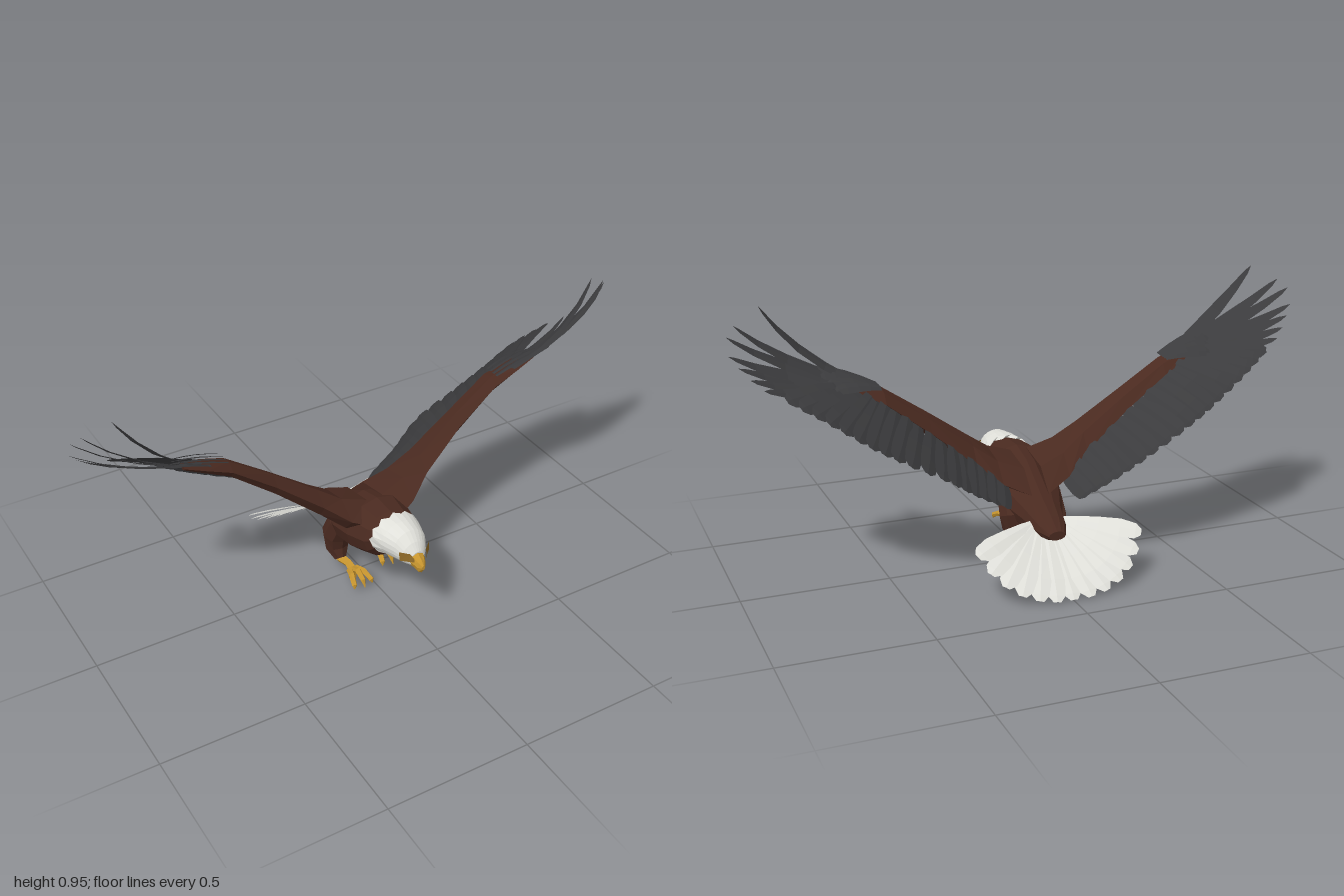
import * as THREE from 'three';

const V = (x, y, z) => new THREE.Vector3(x, y, z);
const paint = (name, color) => {
  const m = new THREE.MeshStandardMaterial({ color, flatShading: true, side: THREE.DoubleSide });
  m.name = name;
  return m;
};

// Skin a surface over rows of points; closed rows form a capped tube
function skin(rows, closed) {
  const n = rows[0].length, pos = [], idx = [];
  rows.forEach(r => r.forEach(p => pos.push(p.x, p.y, p.z)));
  const cols = closed ? n : n - 1;
  for (let i = 0; i < rows.length - 1; i++) {
    for (let j = 0; j < cols; j++) {
      const a = i * n + j, b = i * n + (j + 1) % n;
      idx.push(a, b, a + n, b, b + n, a + n);
    }
  }
  if (closed) {
    const last = (rows.length - 1) * n;
    for (let j = 1; j < n - 1; j++) idx.push(0, j + 1, j, last, last + j, last + j + 1);
  }
  const g = new THREE.BufferGeometry();
  g.setAttribute('position', new THREE.Float32BufferAttribute(pos, 3));
  g.setIndex(idx);
  const flat = g.toNonIndexed();
  flat.computeVertexNormals();
  return flat;
}

// Elliptical ring across z
function ring([z, top, bottom, half], n = 12, zig = 0) {
  return Array.from({ length: n }, (_, i) => {
    const a = i / n * Math.PI * 2;
    return V(half * Math.cos(a), (top + bottom) / 2 + (top - bottom) / 2 * Math.sin(a),
      z + (i % 2 ? zig : -zig));
  });
}

// Tapered tube through points with one radius for each
function limb(points, radii, n = 6) {
  const rows = points.map((p, i) => {
    const d = points[Math.min(i + 1, points.length - 1)].clone()
      .sub(points[Math.max(i - 1, 0)]).normalize();
    const u = V(1, 0, 0).addScaledVector(d, -d.x);
    if (u.length() < 0.2) u.set(0, 1, 0).addScaledVector(d, -d.y);
    u.normalize();
    const w = d.clone().cross(u);
    return Array.from({ length: n }, (_, k) => {
      const a = k / n * Math.PI * 2;
      return p.clone().addScaledVector(u, radii[i] * Math.cos(a)).addScaledVector(w, radii[i] * Math.sin(a));
    });
  });
  return skin(rows, true);
}

// Vane with a raised quill, following a bent line from root to tip
const BLUNT = [0.5, 0.75, 0.95, 1, 0.85, 0.3];
const POINTED = [0.8, 1, 0.95, 0.65, 0.35, 0.02];
const STEPS = [0, 0.25, 0.5, 0.75, 0.93, 1];
function feather(root, bend, tip, normal, half, profile) {
  const curve = new THREE.QuadraticBezierCurve3(root, bend, tip);
  return skin(STEPS.map((t, i) => {
    const p = curve.getPoint(t), w = half * profile[i];
    const side = normal.clone().cross(curve.getTangent(t)).normalize();
    return [p.clone().addScaledVector(side, -w), p.clone().addScaledVector(normal, w * 0.12),
      p.clone().addScaledVector(side, w)];
  }), false);
}

export function createModel() {
  const model = new THREE.Group();
  model.name = 'eagle';
  const brown = paint('brown plumage', 0x4a2a20);
  const charcoal = paint('charcoal feathers', 0x3b3b3d);
  const white = paint('white plumage', 0xe0e0da);
  const gold = paint('gold beak and feet', 0xc8962f);
  const cereGold = paint('dark gold cere', 0x8f6a28);
  const add = (parent, name, geo, mat) => {
    const m = new THREE.Mesh(geo, mat);
    m.name = name;
    parent.add(m);
    return m;
  };
  const group = name => {
    const g = new THREE.Group();
    g.name = name;
    model.add(g);
    return g;
  };

  // Body: z, top, bottom, half width
  add(model, 'body', skin([
    [0.235, 0.375, 0.255, 0.078], [0.19, 0.382, 0.2, 0.1], [0.11, 0.385, 0.17, 0.12],
    [0.02, 0.36, 0.155, 0.12], [-0.06, 0.31, 0.145, 0.1], [-0.13, 0.265, 0.145, 0.072],
    [-0.2, 0.23, 0.145, 0.055], [-0.255, 0.195, 0.165, 0.03],
  ].map(r => ring(r)), true), brown);

  // Head with a ragged collar
  add(model, 'head', skin([
    ring([0.365, 0.325, 0.27, 0.026], 24), ring([0.345, 0.352, 0.265, 0.045], 24),
    ring([0.315, 0.38, 0.26, 0.062], 24), ring([0.265, 0.385, 0.252, 0.078], 24),
    ring([0.218, 0.386, 0.236, 0.091], 24, 0.008),
  ], true), white);
  add(model, 'beak', skin([
    [0.345, 0.322, 0.268, 0.034], [0.37, 0.322, 0.267, 0.026],
    [0.39, 0.308, 0.258, 0.016], [0.402, 0.293, 0.276, 0.006],
  ].map(r => ring(r, 8)), true), gold);
  for (const s of [-1, 1]) {
    add(model, s > 0 ? 'leftCere' : 'rightCere', skin([
      [V(s * 0.058, 0.333, 0.343), V(s * 0.057, 0.3, 0.346)],
      [V(s * 0.03, 0.33, 0.368), V(s * 0.036, 0.3, 0.366)],
      [V(s * 0.023, 0.315, 0.383), V(s * 0.024, 0.304, 0.383)],
    ], false), cereGold);
  }

  // Tail fan, tips cupped upwards at the sides
  const tail = group('tail');
  for (let i = -6; i <= 6; i++) {
    const a = i / 6 * 1.16, c = Math.abs(i) / 6;
    const tip = V(0.315 * Math.sin(a), 0.012 + 0.15 * c ** 2.2,
      -0.155 - 0.243 * Math.cos(a) - 0.04 * Math.sin(Math.abs(a)));
    const root = V(0.035 * Math.sin(a), 0.203 + 0.002 * (i % 2), -0.16);
    const bend = root.clone().lerp(tip, 0.5).add(V(0, 0.015, 0));
    add(tail, 'tailFeather', feather(root, bend, tip, V(0, 0.77, -0.64), 0.036,
      [0.25, 0.5, 0.75, 1, 0.85, 0.35]), white);
  }

  for (const s of [-1, 1]) {
    const side = s > 0 ? 'left' : 'right';
    const P = (x, y, z) => V(s * x, y, z);
    const wing = group(side + 'Wing');

    // Wing arm: x, front z, rear z, top y, bottom y
    add(wing, 'wingArm', skin([
      [0.03, 0.18, -0.11, 0.375, 0.24], [0.12, 0.15, -0.08, 0.405, 0.285],
      [0.2, 0.108, -0.045, 0.46, 0.355], [0.35, 0.075, -0.03, 0.565, 0.485],
      [0.5, 0.065, -0.03, 0.665, 0.605], [0.59, 0.065, -0.015, 0.695, 0.655],
      [0.66, 0.06, 0.02, 0.715, 0.695],
    ].map(([x, f, r, t, b]) => {
      const h = t - b, m = (f + r) / 2;
      return [P(x, b + h * 0.55, f), P(x, t, m + (f - m) * 0.4), P(x, t - h * 0.2, m - (m - r) * 0.5),
        P(x, b + h * 0.25, r), P(x, b, m), P(x, b + h * 0.12, m + (f - m) * 0.6)];
    }), true), brown);

    // Flight feathers along the rear edge
    const normal = P(-0.49, 0.58, -0.33).multiplyScalar(1).normalize();
    const roots = new THREE.CatmullRomCurve3([P(0.11, 0.335, -0.02), P(0.3, 0.475, 0),
      P(0.5, 0.635, 0.005), P(0.61, 0.68, 0.015)]);
    const tips = new THREE.CatmullRomCurve3([P(0.15, 0.27, -0.165), P(0.25, 0.325, -0.185),
      P(0.36, 0.4, -0.212), P(0.5, 0.475, -0.2), P(0.61, 0.54, -0.185), P(0.73, 0.625, -0.165),
      P(0.84, 0.695, -0.12)]);
    const count = 18;
    for (let i = 0; i < count; i++) {
      const t = i / (count - 1);
      const root = roots.getPoint(t), tip = tips.getPoint(t);
      root.addScaledVector(normal, (i % 2) * 0.004);
      const bend = root.clone().lerp(tip, 0.5).addScaledVector(normal, 0.012);
      add(wing, 'secondaryFeather', feather(root, bend, tip, normal, 0.036, BLUNT), charcoal);
    }

    // Spread fingers at the wing tip
    const fingers = [[0.9, 0.725, -0.09], [0.935, 0.755, -0.065], [0.965, 0.79, -0.04],
      [0.99, 0.825, -0.02], [0.99, 0.88, 0.003], [0.962, 0.908, 0.03], [0.875, 0.955, 0.068]];
    fingers.forEach((f, i) => {
      const k = i / (fingers.length - 1);
      const tip = P(...f), root = P(0.56 + 0.02 * k, 0.665 + 0.02 * k, 0.005 + 0.045 * k);
      const bend = root.clone().lerp(tip, 0.55).add(P(0.03, -0.02 - 0.025 * k, 0.015 + 0.035 * k));
      add(wing, 'primaryFeather', feather(root, bend, tip, normal, 0.028, POINTED), charcoal);
    });

    // Short coverts over the wrist
    for (let i = 0; i < 4; i++) {
      const root = P(0.51, 0.672, 0.05 - i * 0.018);
      const tip = P(0.71 - i * 0.015, 0.738 - i * 0.017, 0.07 - i * 0.035);
      const bend = root.clone().lerp(tip, 0.5).add(P(0, 0.015, 0));
      add(wing, 'wristCovert', feather(root, bend, tip, normal, 0.022, BLUNT), charcoal);
    }

    // Legs: the left one is drawn up higher
    const leg = group(side + 'Leg');
    const up = s > 0 ? 0.078 : 0, fz = s > 0 ? 0.02 : 0;
    const fx = s > 0 ? 0.04 : -0.06;
    add(leg, 'thigh', limb([V(s * 0.065, 0.24, -0.01), V(s * 0.072, 0.165 + up * 0.3, -0.045),
      V(s * 0.07, 0.105 + up * 0.6, -0.045), V(fx + s * 0.012, 0.07 + up * 0.85, -0.015)],
    [0.05, 0.05, 0.042, 0.022], 8), brown);
    add(leg, 'shank', limb([V(fx + s * 0.012, 0.07 + up * 0.85, -0.02), V(fx, 0.066 + up, 0.02 + fz),
      V(fx, 0.055 + up, 0.055 + fz)], [0.017, 0.014, 0.017]), gold);
    for (const k of [-1, 0, 1]) {
      const x = fx + k * 0.012, y = 0.06 + up, z = 0.05 + fz;
      add(leg, 'toe', limb([V(x, y, z), V(x + k * 0.012, y + 0.017 - Math.abs(k) * 0.012, z + 0.035),
        V(x + k * 0.022, y - Math.abs(k) * 0.012, z + 0.07),
        V(x + k * 0.024, y - 0.025, z + 0.084 - Math.abs(k) * 0.01)],
      [0.012, 0.011, 0.009, 0.001]), gold);
    }
    add(leg, 'hindToe', limb([V(fx, 0.055 + up, 0.05 + fz), V(fx, 0.03 + up, 0.048 + fz),
      V(fx, 0.017 + up, 0.04 + fz), V(fx, 0.01 + up, 0.055 + fz)], [0.015, 0.015, 0.011, 0.002]), gold);
  }
  return model;
}
